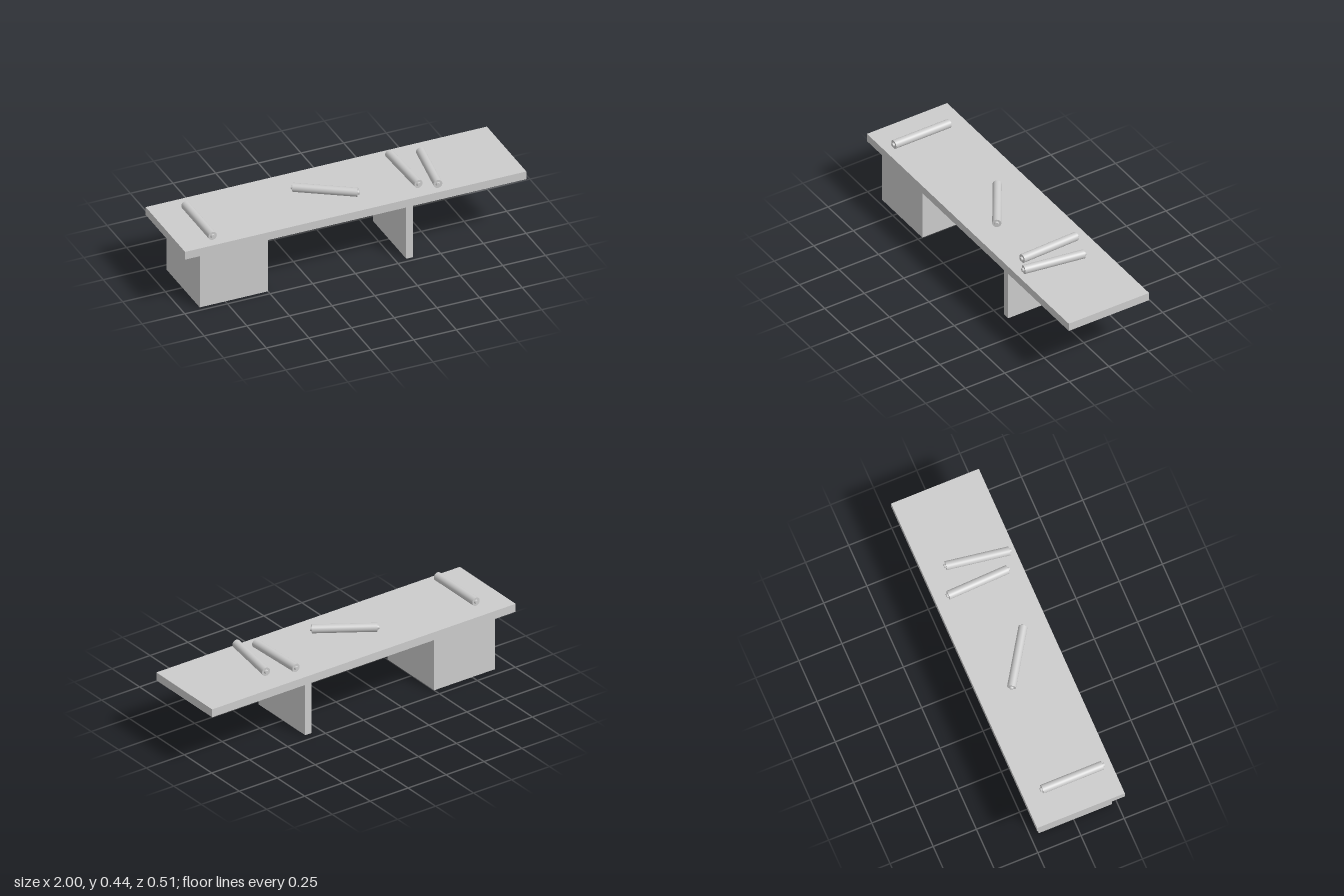
import * as THREE from 'three';

const material = new THREE.MeshStandardMaterial({ color: 0xcccccc });

function addBox(parent, name, x0, x1, y0, y1, z0, z1) {
  const mesh = new THREE.Mesh(new THREE.BoxGeometry(x1 - x0, y1 - y0, z1 - z0), material);
  mesh.name = name;
  mesh.position.set((x0 + x1) / 2, (y0 + y1) / 2, (z0 + z1) / 2);
  parent.add(mesh);
}

// Rolled sheet lying along z, with a small stub of its rod at each end
function createRoll() {
  const roll = new THREE.Group();
  const radius = 0.0245, length = 0.35;
  const sheet = new THREE.Mesh(new THREE.CylinderGeometry(radius, radius, length, 32), material);
  sheet.name = 'rolledSheet';
  sheet.rotation.x = Math.PI / 2;
  roll.add(sheet);
  for (const side of [-1, 1]) {
    const stub = new THREE.Mesh(new THREE.CylinderGeometry(0.0105, 0.0125, 0.01, 16), material);
    stub.name = 'rodEnd';
    stub.rotation.x = side * Math.PI / 2;
    stub.position.z = side * (length / 2 + 0.005);
    roll.add(stub);
  }
  return roll;
}

export function createModel() {
  const model = new THREE.Group();
  model.name = 'table';

  // Long top on a solid block and a thin panel
  addBox(model, 'tableTop', -1, 1, 0.34, 0.388, -0.254, 0.254);
  addBox(model, 'blockSupport', -0.9, -0.5, 0, 0.34, -0.203, 0.223);
  addBox(model, 'panelSupport', 0.31, 0.35, 0, 0.34, -0.203, 0.223);

  // Rolls scattered on the top: x, y, z, heading in degrees
  const rolls = [
    [-0.815, 0.413, 0.027, 0],
    [-0.073, 0.416, 0.023, 57],
    [0.4, 0.413, -0.005, 2],
    [0.525, 0.417, 0.046, -9],
  ];
  for (const [x, y, z, heading] of rolls) {
    const roll = createRoll();
    roll.name = 'roll';
    roll.position.set(x, y, z);
    roll.rotation.y = THREE.MathUtils.degToRad(heading);
    model.add(roll);
  }
  return model;
}
